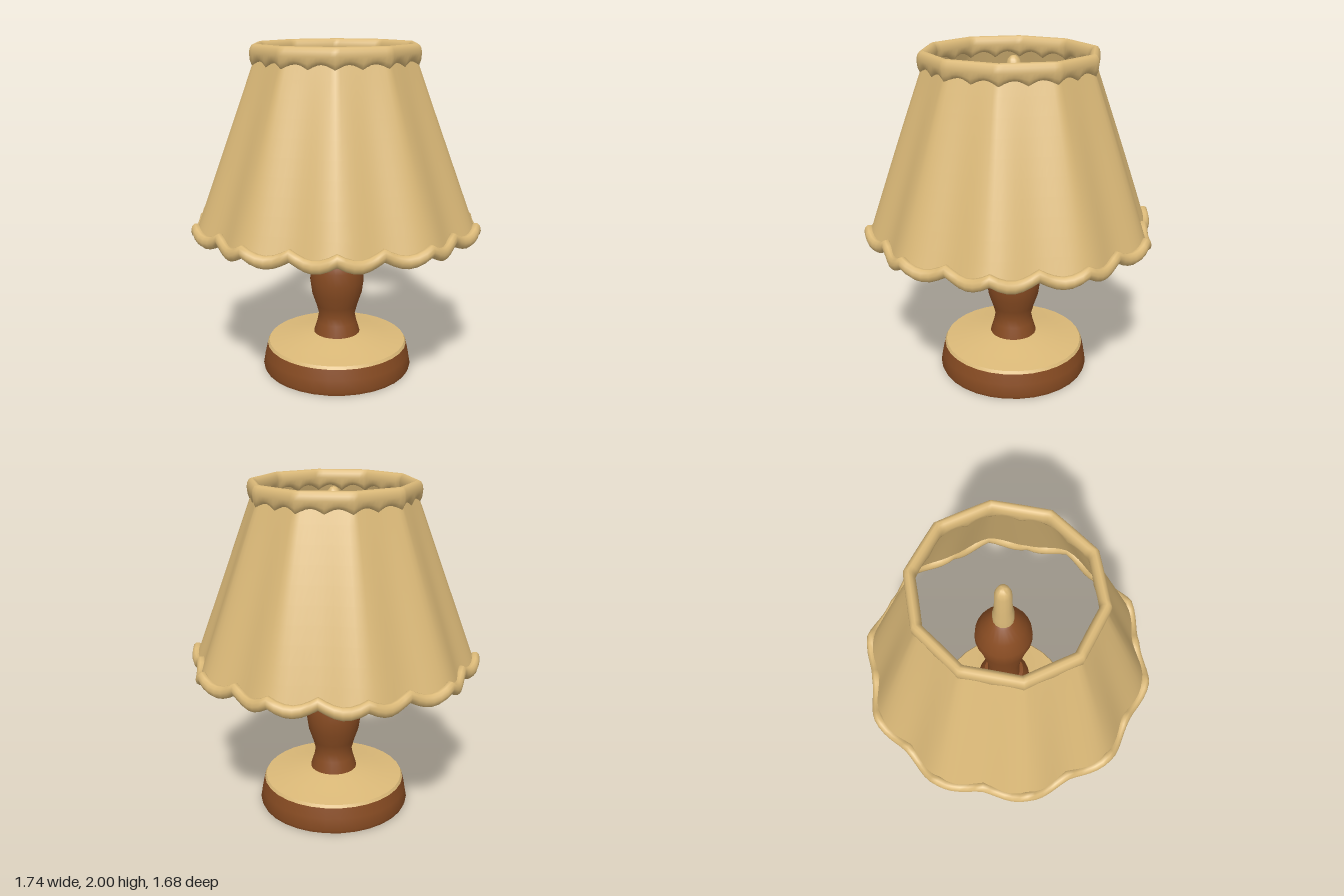
import * as THREE from 'three';
import { toCreasedNormals } from 'three/addons/utils/BufferGeometryUtils.js';

const LOBES = 10;
const AROUND = 120;

// Closed surface around y; point(theta, v) gives [radius, y, zScale]. With loop, v also wraps.
function ringSurface(point, rows, loop) {
  const pos = [], index = [];
  const count = loop ? rows : rows + 1;
  for (let j = 0; j < count; j++) {
    for (let i = 0; i < AROUND; i++) {
      const t = (i / AROUND) * Math.PI * 2;
      const [r, y, zs] = point(t, j / rows);
      pos.push(r * Math.cos(t), y, r * Math.sin(t) * zs);
    }
  }
  for (let j = 0; j < rows; j++) {
    for (let i = 0; i < AROUND; i++) {
      const k = (i + 1) % AROUND, n = (j + 1) % count;
      const a = j * AROUND + i, b = j * AROUND + k, c = n * AROUND + i, d = n * AROUND + k;
      index.push(a, c, b, b, c, d);
    }
  }
  const g = new THREE.BufferGeometry();
  g.setAttribute('position', new THREE.Float32BufferAttribute(pos, 3));
  g.setIndex(index);
  g.computeVertexNormals();
  return g;
}

// Unit decagon with a corner at theta = 0
function decagon(t) {
  const step = (Math.PI * 2) / LOBES;
  const a = (((t % step) + step) % step) - step / 2;
  return Math.cos(step / 2) / Math.cos(a);
}

// Cloth outline: h = 0 at the wavy hem, 1 at the collar
function clothRadius(t, h) {
  const wave = 0.81 + 0.025 * Math.cos(LOBES * t);
  return THREE.MathUtils.lerp(wave, 0.47 * decagon(t), h);
}

// Small scallops, 0 at the joints and 1 in the middle of each
const scallop = (t) => Math.abs(Math.sin(LOBES * t));

function lathe(points, segments, crease) {
  const g = new THREE.LatheGeometry(points.map(([r, y]) => new THREE.Vector2(r, y)), segments);
  return toCreasedNormals(g, crease);
}

export function createModel() {
  const cream = new THREE.MeshStandardMaterial({ color: 0xdbb978, side: THREE.DoubleSide });
  cream.name = 'cream cloth';
  const wood = new THREE.MeshStandardMaterial({ color: 0x874b22 });
  wood.name = 'brown wood';

  const model = new THREE.Group();
  model.name = 'tableLamp';
  const shade = new THREE.Group();
  shade.name = 'lampshade';
  const stand = new THREE.Group();
  stand.name = 'stand';
  stand.position.z = -0.02;
  model.add(shade, stand);

  const add = (parent, name, geometry, material) => {
    const mesh = new THREE.Mesh(geometry, material);
    mesh.name = name;
    parent.add(mesh);
  };

  // Fluted cloth, slightly oval at the collar
  add(shade, 'shadeCloth', ringSurface((t, v) => [
    clothRadius(t, v), 0.95 + v * 0.98, 1 + 0.05 * v,
  ], 10, false), cream);

  // Scalloped roll along the hem
  add(shade, 'hemTrim', ringSurface((t, v) => {
    const a = v * Math.PI * 2;
    return [
      clothRadius(t, 0) + 0.006 + 0.03 * Math.cos(a),
      0.962 - 0.045 * scallop(t) + 0.037 * Math.sin(a), 1,
    ];
  }, 10, true), cream);

  // Collar roll with a toothed lower edge
  add(shade, 'collarTrim', ringSurface((t, v) => {
    const a = v * Math.PI * 2, s = Math.sin(a);
    const drop = s < 0 ? 0.045 + 0.035 * (1 - scallop(t)) : 0.05;
    return [0.472 * decagon(t) + 0.03 * Math.cos(a), 1.95 + drop * s, 1.05];
  }, 12, true), cream);

  // Round foot: wooden rim with a pale domed top
  add(stand, 'foot', lathe([
    [0, 0], [0.455, 0], [0.462, 0.02], [0.45, 0.09], [0.435, 0.155],
  ], 32, 0.6), wood);
  add(stand, 'footTop', lathe([
    [0.435, 0.155], [0.425, 0.172], [0.3, 0.19], [0.2, 0.212], [0.13, 0.222],
  ], 32, 0.6), cream);

  // Turned stem, flaring into the socket under the shade
  add(stand, 'stem', lathe([
    [0.145, 0.2], [0.142, 0.225], [0.122, 0.29], [0.112, 0.34], [0.128, 0.4],
    [0.155, 0.48], [0.166, 0.56], [0.163, 0.64], [0.148, 0.7], [0.122, 0.75],
    [0.1, 0.755], [0.098, 0.95], [0.115, 1.05], [0.14, 1.22], [0.165, 1.34],
    [0.16, 1.4], [0.125, 1.49], [0.07, 1.58], [0.045, 1.6],
  ], 24, 0.7), wood);

  // Slim rounded rod on top of the socket
  add(stand, 'topRod', lathe([
    [0.06, 1.56], [0.06, 1.66], [0.05, 1.72], [0.046, 1.9], [0.034, 1.94],
    [0.018, 1.957], [0, 1.962],
  ], 14, 1), cream);

  return model;
}
